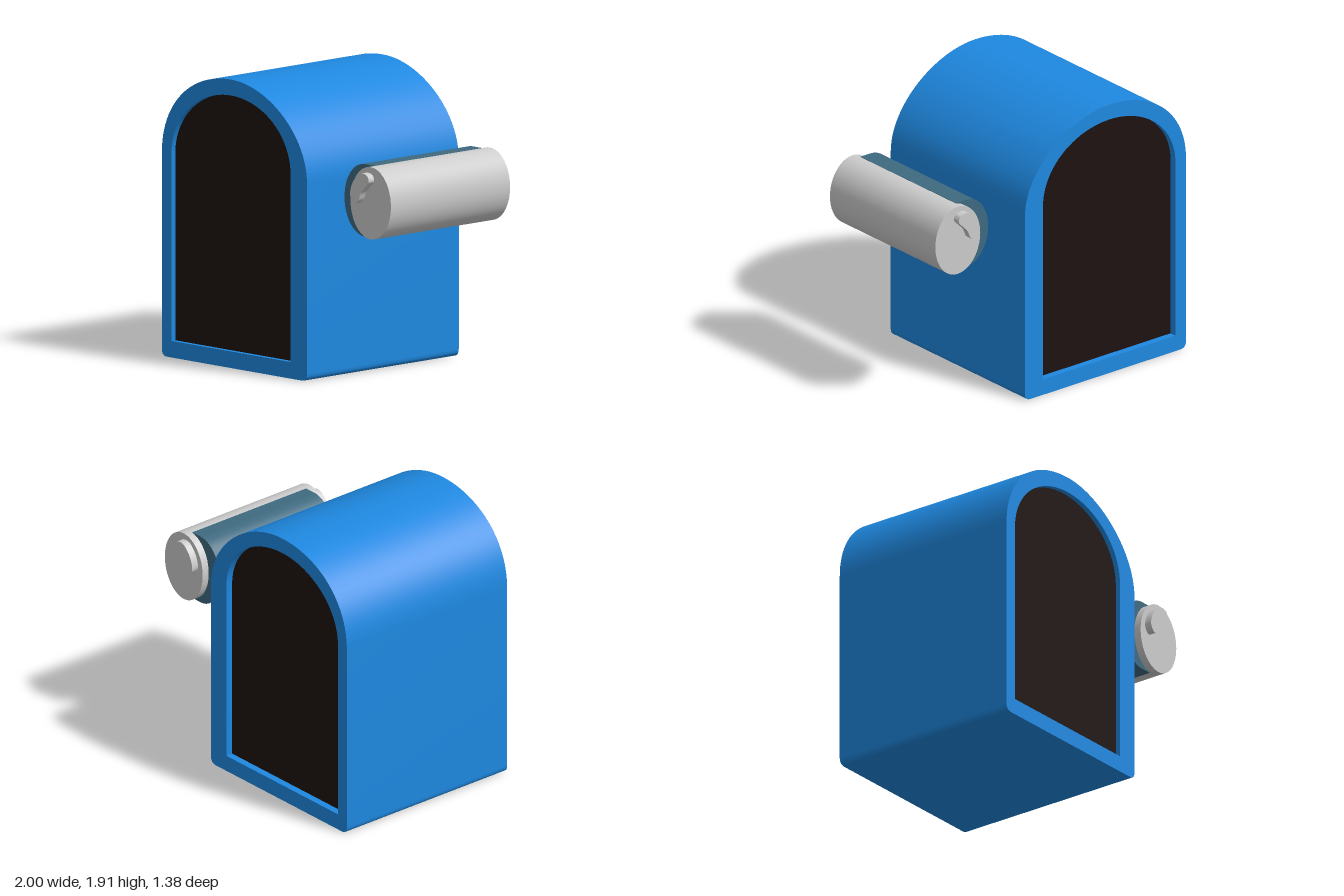
import * as THREE from 'three';
import { toCreasedNormals } from 'three/addons/utils/BufferGeometryUtils.js';

const material = (color) => new THREE.MeshStandardMaterial({ color });

// Extrudes a front-facing outline between two z positions
function slab(name, shape, z0, z1, mat) {
  const geometry = new THREE.ExtrudeGeometry(shape, {
    depth: z1 - z0, bevelEnabled: false, curveSegments: 24,
  });
  geometry.translate(0, 0, z0);
  const mesh = new THREE.Mesh(toCreasedNormals(geometry, 0.6), mat);
  mesh.name = name;
  return mesh;
}

// Arched outline with small rounded lower corners
function outerArch() {
  const l = -1, r = 0.364, c = 0.05;
  const s = new THREE.Shape();
  s.moveTo(l + c, 0);
  s.lineTo(r - c, 0);
  s.quadraticCurveTo(r, 0, r, c);
  s.lineTo(r, 1.31);
  s.bezierCurveTo(r, 1.63, 0, 1.914, -0.35, 1.914);
  s.bezierCurveTo(-0.73, 1.914, l, 1.68, l, 1.35);
  s.lineTo(l, c);
  s.quadraticCurveTo(l, 0, l + c, 0);
  return s;
}

// Opening: square at the bottom, half ellipse at the top
function innerArch() {
  const s = new THREE.Shape();
  s.moveTo(-0.91, 0.11);
  s.lineTo(0.21, 0.11);
  s.lineTo(0.21, 1.35);
  s.absellipse(-0.35, 1.35, 0.56, 0.458, 0, Math.PI, false, 0);
  s.lineTo(-0.91, 0.11);
  return s;
}

export function createModel() {
  const group = new THREE.Group();
  const blue = material(0x1e88e0);
  const dark = material(0x1c1210);
  const teal = material(0x3f6a80);
  const grey = material(0xcccccc);

  // Arched housing with dark recessed infill at both ends
  const shell = outerArch();
  shell.holes.push(innerArch());
  group.add(slab('archedHousing', shell, -0.69, 0.69, blue));
  group.add(slab('darkInfill', innerArch(), -0.64, 0.655, dark));

  // Floating oval roller
  const roller = new THREE.Group();
  roller.name = 'roller';
  const cy = 1.22, rx = 0.19, ry = 0.24;

  const drum = new THREE.Shape();
  drum.absellipse(0.81, cy, rx, ry, 0, Math.PI * 2, false, 0);
  roller.add(slab('rollerDrum', drum, -0.542, 0.542, grey));

  // Half-oval sleeve on the side facing the housing
  const sleeve = new THREE.Shape();
  sleeve.moveTo(0.785, cy + ry);
  sleeve.lineTo(0.70, cy + ry);
  sleeve.absellipse(0.70, cy, rx, ry, Math.PI / 2, Math.PI * 1.5, false, 0);
  sleeve.lineTo(0.785, cy - ry);
  sleeve.closePath();
  roller.add(slab('rollerSleeve', sleeve, -0.49, 0.49, teal));

  // Kidney-shaped knobs on both ends
  const outline = [
    [0.76, 1.417], [0.825, 1.41], [0.843, 1.372], [0.813, 1.337], [0.768, 1.289],
    [0.742, 1.235], [0.706, 1.213], [0.669, 1.257], [0.687, 1.342],
  ].map(([x, y]) => new THREE.Vector3(x, y, 0));
  const curve = new THREE.CatmullRomCurve3(outline, true);
  const points = curve.getPoints(60).slice(0, -1).map((p) => new THREE.Vector2(p.x, p.y));
  const knob = new THREE.Shape(points);
  roller.add(slab('frontKnob', knob, 0.53, 0.592, grey));
  roller.add(slab('backKnob', knob, -0.592, -0.53, grey));
  group.add(roller);

  return group;
}
